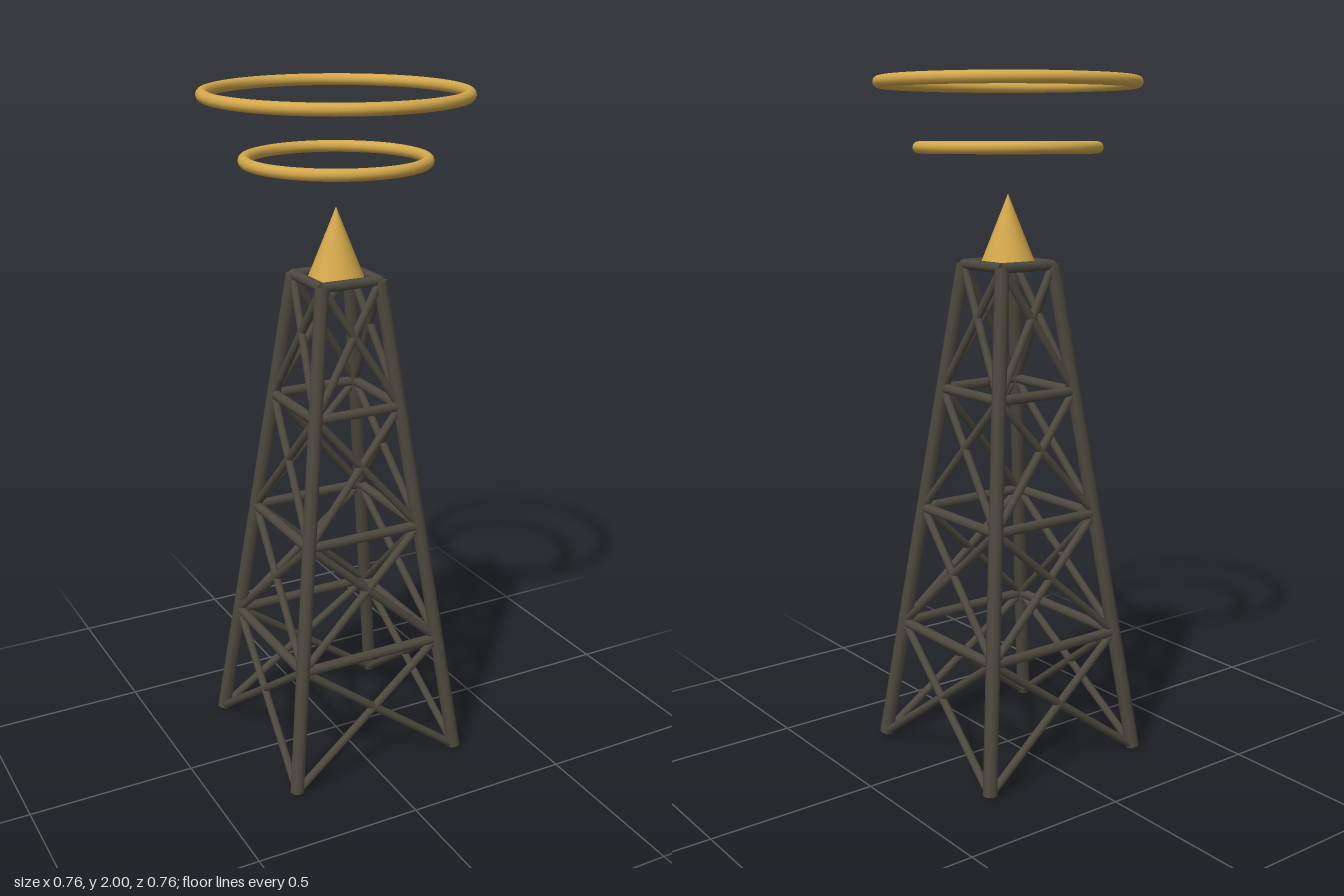
import * as THREE from 'three';

export function createModel() {
  const model = new THREE.Group();
  const steel = new THREE.MeshStandardMaterial({ color: 0x4d493f });
  steel.name = 'dark steel';
  const gold = new THREE.MeshStandardMaterial({ color: 0xd4a84b });
  gold.name = 'gold';

  const UP = new THREE.Vector3(0, 1, 0);
  const add = (parent, name, geometry, material) => {
    const mesh = new THREE.Mesh(geometry, material);
    mesh.name = name;
    parent.add(mesh);
    return mesh;
  };

  // A round bar between two points
  const bar = (parent, name, a, b, radius) => {
    const dir = b.clone().sub(a);
    const mesh = add(parent, name, new THREE.CylinderGeometry(radius, radius, dir.length(), 8), steel);
    mesh.position.copy(a).add(b).multiplyScalar(0.5);
    mesh.quaternion.setFromUnitVectors(UP, dir.normalize());
  };

  // Corner of the tapering tower at a given level (0 = ground, 4 = top)
  const LEVELS = 4, BASE_Y = 0.005, TOP_Y = 1.473;
  const signs = [[1, 1], [1, -1], [-1, -1], [-1, 1]];
  const corner = (side, level) => {
    const t = level / LEVELS;
    const half = THREE.MathUtils.lerp(0.272, 0.092, t);
    const [sx, sz] = signs[side % 4];
    return new THREE.Vector3(sx * half, THREE.MathUtils.lerp(BASE_Y, TOP_Y, t), sz * half);
  };

  // Lattice tower: legs, horizontal beams and crossed braces on each side
  const tower = new THREE.Group();
  tower.name = 'latticeTower';
  model.add(tower);
  for (let side = 0; side < 4; side++) {
    bar(tower, 'leg', corner(side, 0), corner(side, LEVELS), 0.021);
    for (let level = 0; level < LEVELS; level++) {
      bar(tower, 'crossBrace', corner(side, level), corner(side + 1, level + 1), 0.012);
      bar(tower, 'crossBrace', corner(side + 1, level), corner(side, level + 1), 0.012);
      bar(tower, 'horizontalBeam', corner(side, level + 1), corner(side + 1, level + 1), 0.015);
    }
  }

  // Pointed cap
  const cap = add(model, 'spireCone', new THREE.ConeGeometry(0.08, 0.2, 32), gold);
  cap.position.y = 1.575;

  // Floating signal rings
  for (const [name, radius, y] of [['lowerRing', 0.254, 1.804], ['upperRing', 0.363, 1.983]]) {
    const ring = add(model, name, new THREE.TorusGeometry(radius, 0.017, 12, 64), gold);
    ring.rotation.x = Math.PI / 2;
    ring.position.y = y;
  }

  return model;
}
